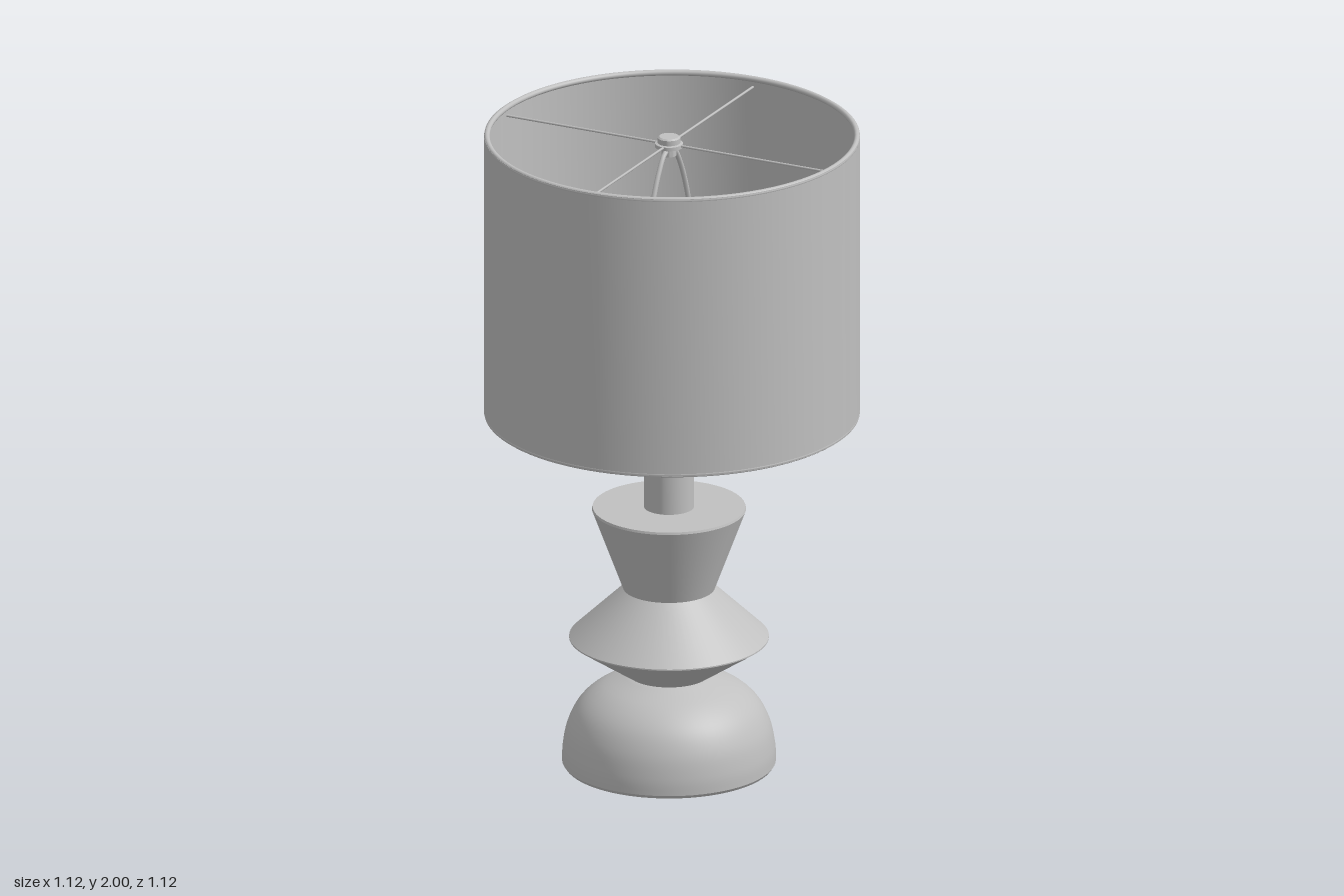
import * as THREE from 'three';
import { toCreasedNormals } from 'three/addons/utils/BufferGeometryUtils.js';

const AXIS = -0.01; // the lamp stem sits slightly off the shade centre

export function createModel() {
  const lamp = new THREE.Group();
  lamp.name = 'tableLamp';
  const grey = new THREE.MeshStandardMaterial({ color: 0xc0c0c0 });
  grey.name = 'light grey';

  const add = (name, geometry, x = AXIS, y = 0, z = 0) => {
    const mesh = new THREE.Mesh(geometry, grey);
    mesh.name = name;
    mesh.position.set(x, y, z);
    lamp.add(mesh);
    return mesh;
  };
  // Turned part from [radius, height] pairs, listed from bottom to top
  const turned = (name, profile, x = AXIS, segments = 64) => {
    const points = profile.map(([r, y]) => new THREE.Vector2(r, y));
    return add(name, toCreasedNormals(new THREE.LatheGeometry(points, segments), 0.5), x);
  };
  const smooth = (profile, steps) =>
    new THREE.SplineCurve(profile.map(([r, y]) => new THREE.Vector2(r, y)))
      .getPoints(steps).map((p) => [Math.max(p.x, 0), p.y]);
  // Straight round bar between two points
  const bar = (name, from, to, radius) =>
    add(name, new THREE.TubeGeometry(new THREE.LineCurve3(from, to), 1, radius, 8), 0);

  // Stacked body: dome foot, double cone, flared cup, neck
  const dome = smooth([[0.319, 0.01], [0.317, 0.06], [0.302, 0.13], [0.267, 0.195],
    [0.207, 0.245], [0.12, 0.283]], 24);
  turned('domeFoot', [[0, 0], [0.312, 0], ...dome, [0, 0.288]]);
  turned('doubleCone', [[0, 0.282], [0.12, 0.282], [0.298, 0.4], [0.298, 0.404],
    [0.137, 0.557], [0, 0.557]]);
  turned('flaredCup', [[0, 0.557], [0.137, 0.557], [0.23, 0.807], [0.228, 0.814], [0, 0.814]]);
  turned('neck', [[0, 0.81], [0.075, 0.81], [0.075, 1.055], [0, 1.055]], AXIS, 48);

  // Stem and bulb holder
  turned('stem', [[0, 1.055], [0.034, 1.055], [0.034, 1.062], [0.044, 1.066], [0.044, 1.078],
    [0.04, 1.084], [0.04, 1.19], [0.03, 1.21], [0.03, 1.29], [0, 1.29]], AXIS, 32);
  turned('socket', [[0, 1.28], [0.03, 1.28], [0.052, 1.31], [0.055, 1.33], [0.055, 1.345],
    [0.05, 1.35], [0.05, 1.46], [0, 1.46]], AXIS, 32);
  turned('bulb', smooth([[0.036, 1.45], [0.042, 1.52], [0.072, 1.6], [0.081, 1.665],
    [0.06, 1.73], [0, 1.757]], 24), AXIS, 32);

  // Switch key on the left side of the socket
  bar('switchShaft', new THREE.Vector3(0.03, 1.335, 0), new THREE.Vector3(0.075, 1.335, 0), 0.008);
  const key = add('switchKey', new THREE.CylinderGeometry(0.024, 0.024, 0.012, 20), 0.075, 1.335);
  key.rotation.z = Math.PI / 2;

  // Harp: a wire bow around the bulb, with its saddle and sleeves
  const half = [[0.06, 1.3], [0.095, 1.34], [0.13, 1.46], [0.155, 1.6],
    [0.125, 1.76], [0.07, 1.89], [0.025, 1.945]];
  const bow = [...half.map(([z, y]) => new THREE.Vector3(0, y, z)),
    ...half.slice().reverse().map(([z, y]) => new THREE.Vector3(0, y, -z))];
  add('harp', new THREE.TubeGeometry(new THREE.CatmullRomCurve3(bow), 72, 0.008, 8));
  add('harpSaddle', new THREE.BoxGeometry(0.024, 0.01, 0.13), AXIS, 1.3);
  for (const side of [-1, 1]) {
    const sleeve = add('harpSleeve', new THREE.CylinderGeometry(0.013, 0.013, 0.05, 16),
      AXIS, 1.345, side * 0.097);
    sleeve.rotation.x = side * 0.28;
  }

  // Finial and the ring below it
  turned('finial', [[0, 1.93], [0.022, 1.93], [0.022, 1.955], [0.042, 1.957], [0.042, 1.968],
    [0.034, 1.97], [0.034, 1.986], [0.029, 1.99], [0, 1.99]], AXIS, 32);

  // Four spider bars reaching to the shade
  for (const side of [-1, 1]) {
    bar('spiderBarX', new THREE.Vector3(AXIS, 1.965, 0), new THREE.Vector3(side * 0.553, 1.965, 0), 0.004);
    bar('spiderBarZ', new THREE.Vector3(AXIS, 1.965, 0), new THREE.Vector3(AXIS, 1.965, side * 0.553), 0.004);
  }

  // Drum shade: a closed thin wall with rolled rims
  turned('shade', [[0.552, 1.115], [0.56, 1.115], [0.56, 1.996], [0.552, 1.996], [0.552, 1.115]], 0, 96);
  for (const y of [1.12, 1.991]) {
    const rim = add('shadeRim', new THREE.TorusGeometry(0.552, 0.009, 10, 96), 0, y);
    rim.rotation.x = Math.PI / 2;
  }
  return lamp;
}
